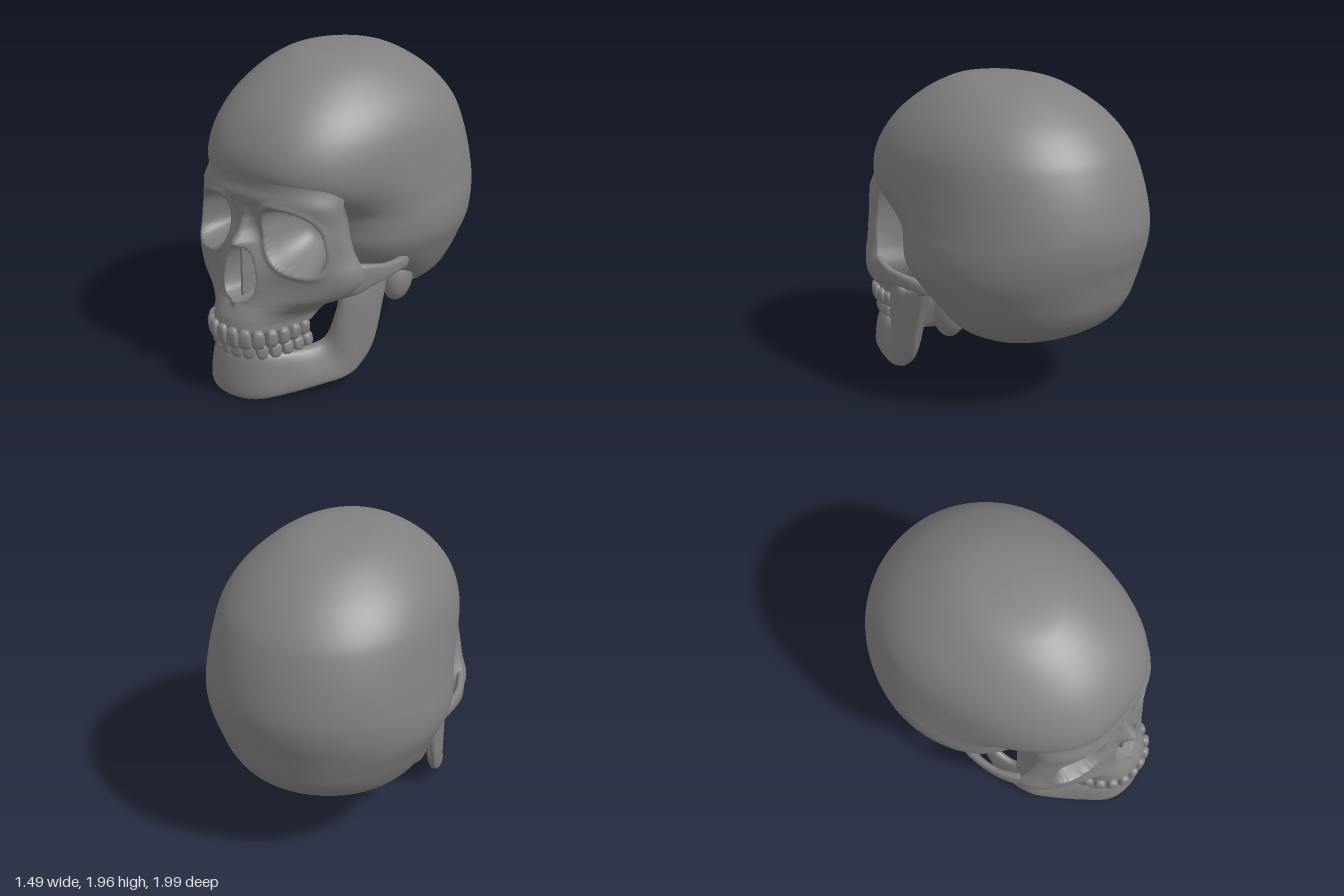
import * as THREE from 'three';

const bone = new THREE.MeshStandardMaterial({ color: 0x808080, side: THREE.DoubleSide });
const HALF = Math.PI / 2;
const { lerp, clamp, smoothstep } = THREE.MathUtils;
const sgnPow = (v, e) => Math.sign(v) * Math.pow(Math.abs(v), e);
const gauss = (v) => Math.exp(-v * v);

// Smooth interpolation through rows of numbers, t from 0 to 1
function sample(rows, t) {
  const f = clamp(t, 0, 1) * (rows.length - 1);
  const i = Math.min(Math.floor(f), rows.length - 2), k = f - i;
  const [a, b, c, d] = [i - 1, i, i + 1, i + 2].map((n) => rows[clamp(n, 0, rows.length - 1)]);
  return b.map((p, n) => 0.5 * (2 * p + (c[n] - a[n]) * k + (2 * a[n] - 5 * p + 4 * c[n] - d[n]) * k * k
    + (3 * p - a[n] - 3 * c[n] + d[n]) * k * k * k));
}

// Skin of closed rings: point(u, v) gives [x, y, z], v wraps around
function skin(nu, nv, point) {
  const pos = [], idx = [];
  for (let i = 0; i <= nu; i++) for (let j = 0; j < nv; j++) pos.push(...point(i / nu, j / nv));
  for (let i = 0; i < nu; i++) for (let j = 0; j < nv; j++) {
    const a = i * nv + j, b = i * nv + (j + 1) % nv;
    idx.push(a, a + nv, b, b, a + nv, b + nv);
  }
  const g = new THREE.BufferGeometry();
  g.setAttribute('position', new THREE.Float32BufferAttribute(pos, 3));
  g.setIndex(idx);
  g.computeVertexNormals();
  return g;
}

// Horizontal rings, row = [y, half width, front z, widest z, back z, front roundness];
// 'front' is the share of points on the front half, 'backPow' shapes the back half
const frontZ = ([, , zf, zm, , n], a) => zm + (zf - zm) * Math.sqrt(1 - Math.pow(Math.min(a, 1), n));
function rings(rows, nu, nv, front, backPow, adjust) {
  return skin(nu, nv, (u, v) => {
    const r = sample(rows, u), isFront = v <= front;
    const t = isFront ? -HALF + Math.PI * v / front : HALF + Math.PI * (v - front) / (1 - front);
    const s = Math.sin(t), a = Math.min(Math.abs(s), 1);
    const z = isFront ? frontZ(r, a) : r[3] + (r[4] - r[3]) * Math.pow(1 - a * a, backPow);
    return adjust([Math.max(r[1], 0) * s, r[0], z], isFront);
  });
}

// Upright blade swept along a path, row = [bottom x, y, z, top x, y, z, half thickness]
function blade(rows, nu, nv) {
  return skin(nu, nv, (u, v) => {
    const r = sample(rows, u), p = sample(rows, u - 0.01), q = sample(rows, u + 0.01);
    const tx = q[0] + q[3] - p[0] - p[3], tz = q[2] + q[5] - p[2] - p[5], len = Math.hypot(tx, tz) || 1;
    const a = v * 2 * Math.PI, k = 0.5 + 0.5 * sgnPow(Math.sin(a), 0.8), o = r[6] * sgnPow(Math.cos(a), 0.6);
    return [r[0] + (r[3] - r[0]) * k - o * tz / len, r[1] + (r[4] - r[1]) * k, r[2] + (r[5] - r[2]) * k + o * tx / len];
  });
}

const CRANIUM = [
  [1.967, 0, -0.03, -0.03, -0.03, 2], [1.958, 0.15, 0.14, -0.04, -0.21, 2], [1.94, 0.24, 0.26, -0.05, -0.34, 2],
  [1.91, 0.32, 0.345, -0.06, -0.44, 2], [1.85, 0.415, 0.46, -0.08, -0.56, 2.1], [1.765, 0.512, 0.58, -0.12, -0.685, 2.2],
  [1.68, 0.583, 0.67, -0.145, -0.775, 2.3], [1.58, 0.637, 0.745, -0.17, -0.855, 2.4], [1.48, 0.667, 0.793, -0.19, -0.902, 2.5],
  [1.38, 0.686, 0.808, -0.21, -0.938, 2.6], [1.3, 0.7, 0.775, -0.22, -0.96, 2.7], [1.22, 0.714, 0.68, -0.22, -0.978, 2.9],
  [1.14, 0.727, 0.55, -0.22, -0.988, 3.2], [1.07, 0.74, 0.45, -0.21, -0.985, 3.4], [0.98, 0.746, 0.41, -0.2, -0.97, 3.5],
  [0.88, 0.735, 0.4, -0.2, -0.94, 3.4], [0.77, 0.69, 0.36, -0.2, -0.912, 3], [0.66, 0.64, 0.22, -0.2, -0.875, 2.5],
  [0.55, 0.57, 0.08, -0.22, -0.795, 2.2], [0.46, 0.45, 0, -0.25, -0.65, 2], [0.4, 0.28, -0.1, -0.3, -0.47, 2],
  [0.378, 0, -0.29, -0.3, -0.31, 2],
];

// Front of the braincase at a given x and y
function foreheadZ(x, y) {
  let lo = 0, hi = 1;
  for (let i = 0; i < 14; i++) {
    const mid = (lo + hi) / 2;
    if (sample(CRANIUM, mid)[0] > y) lo = mid; else hi = mid;
  }
  const r = sample(CRANIUM, lo);
  return frontZ(r, Math.abs(x) / r[1]);
}

// Temples are pressed in slightly
function shapeCranium([x, y, z]) {
  const dent = 0.025 * gauss((y - 1.1) / 0.16) * gauss((z - 0.34) / 0.18);
  return [x - Math.sign(x) * dent * Math.min(1, Math.abs(x) * 3), y, z];
}

// Nose bridge height by y, from the brow down to the nose floor
const BRIDGE = [[1.18, 0], [1.11, 0.025], [1.04, 0.07], [0.97, 0.135], [0.92, 0.1], [0.8, 0.07], [0.7, 0.055], [0.6, 0]];
function bridge(y) {
  for (let i = 1; i < BRIDGE.length; i++) {
    const [y0, h0] = BRIDGE[i - 1], [y1, h1] = BRIDGE[i];
    if (y <= y0 && y >= y1) return lerp(h0, h1, (y0 - y) / (y0 - y1));
  }
  return 0;
}

// Brow fades into the forehead; eye sockets, nose bridge and nose opening are pressed in
function shapeFace([x, y, z], isFront) {
  if (!isFront) return [x, y, z];
  if (y > 1.2) z = lerp(z, foreheadZ(x, y) - 0.004, smoothstep(y, 1.2, 1.42));
  const u = Math.abs(x) - 0.305, v = y - 1.003;
  const d = Math.pow(Math.pow(Math.abs(u + 0.18 * v) / 0.165, 2.8) + Math.pow(Math.abs(v + 0.14 * u) / 0.178, 2.8), 1 / 2.8);
  const socket = 0.3 * Math.pow(Math.max(0, 1 - Math.pow(d, 2.7)), 0.8);
  z += 0.012 * gauss((d - 1.1) / 0.1) - socket;
  const spread = clamp(0.045 + (1.05 - y) * 0.32, 0.045, 0.15);
  z += bridge(y) * gauss(x / spread);
  const k = (y - 0.62) / 0.33;
  if (k > 0 && k < 1) {
    const w = 0.19 * Math.sqrt(1 - k) * Math.pow(k, 0.25);
    z -= 0.23 * (1 - smoothstep(Math.abs(x) / w, 0.65, 1.05));
  }
  z += 0.03 * gauss(x / 0.025) * gauss((y - 0.61) / 0.025);
  return [x * (1 - 0.5 * socket), y, z];
}

export function createModel() {
  const skull = new THREE.Group();
  skull.name = 'skull';
  const add = (name, geo, parent = skull) => {
    const m = new THREE.Mesh(geo, bone);
    m.name = name;
    parent.add(m);
    return m;
  };
  const pair = (name, geo, place = () => {}) => [['left', 1], ['right', -1]].forEach(([side, s]) => {
    const holder = new THREE.Group();
    holder.name = side + name;
    holder.scale.x = s;
    skull.add(holder);
    place(add(name, geo, holder));
  });
  const ball = new THREE.SphereGeometry(1, 24, 16);
  const lump = (name, p, r, tilt = 0) => pair(name, ball, (m) => {
    m.position.set(...p);
    m.scale.set(...r);
    m.rotation.x = tilt;
  });

  // Braincase
  add('cranium', rings(CRANIUM, 105, 112, 0.5, 0.5, shapeCranium));

  // Face from the forehead down to the palate
  add('face', rings([
    [1.45, 0.42, 0.765, 0.3, 0.2, 2.5], [1.38, 0.46, 0.8, 0.37, 0.2, 2.5], [1.31, 0.485, 0.822, 0.45, 0.2, 2.5],
    [1.25, 0.497, 0.828, 0.5, 0.15, 2.5], [1.19, 0.505, 0.805, 0.53, 0.1, 2.5],
    [1.1, 0.515, 0.785, 0.53, 0.1, 2.3], [1.0, 0.54, 0.78, 0.52, 0.12, 2.2], [0.9, 0.57, 0.8, 0.49, 0.18, 1.95],
    [0.8, 0.61, 0.83, 0.46, 0.2, 1.75], [0.72, 0.6, 0.84, 0.46, 0.24, 1.75], [0.65, 0.545, 0.865, 0.46, 0.3, 1.85],
    [0.6, 0.45, 0.9, 0.46, 0.3, 1.9], [0.55, 0.36, 0.935, 0.46, 0.33, 2.1], [0.5, 0.31, 0.96, 0.5, 0.4, 2.3],
    [0.44, 0.285, 0.965, 0.57, 0.53, 2.4], [0.43, 0.22, 0.91, 0.58, 0.55, 2], [0.49, 0.12, 0.8, 0.6, 0.57, 2],
    [0.5, 0, 0.66, 0.65, 0.64, 2],
  ], 153, 260, 0.86, 1, shapeFace));

  // Partition and side scrolls inside the nose
  const septum = add('nasalSeptum', new THREE.BoxGeometry(0.016, 0.3, 0.22));
  septum.position.set(0, 0.77, 0.73);
  lump('nasalScroll', [0.075, 0.73, 0.65], [0.026, 0.085, 0.07]);

  // Cheek arches
  pair('cheekArch', blade([
    [0.48, 0.65, 0.58, 0.49, 0.83, 0.58, 0.03], [0.56, 0.66, 0.5, 0.57, 0.85, 0.48, 0.03],
    [0.61, 0.695, 0.4, 0.615, 0.835, 0.39, 0.025], [0.636, 0.715, 0.3, 0.636, 0.815, 0.3, 0.022],
    [0.635, 0.722, 0.17, 0.635, 0.8, 0.17, 0.025], [0.6, 0.7, 0.07, 0.605, 0.785, 0.07, 0.035],
    [0.53, 0.69, 0, 0.53, 0.77, 0, 0.03],
  ], 40, 24));

  // Base of the skull
  lump('mastoidProcess', [0.49, 0.57, -0.035], [0.085, 0.15, 0.11], -0.2);
  lump('occipitalCondyle', [0.13, 0.45, -0.08], [0.05, 0.05, 0.09]);
  lump('pterygoidPlate', [0.15, 0.58, 0.36], [0.03, 0.14, 0.1]);
  const base = add('skullBase', ball);
  base.position.set(0, 0.64, 0.16);
  base.scale.set(0.22, 0.13, 0.26);

  // Lower jaw: one half from chin to hinge, mirrored into a full row list
  const half = [
    [0, 0.008, 0.945, 0, 0.3, 0.885, 0.045], [0.16, 0.014, 0.9, 0.15, 0.3, 0.85, 0.045],
    [0.285, 0.035, 0.75, 0.24, 0.29, 0.74, 0.045], [0.39, 0.062, 0.59, 0.31, 0.29, 0.59, 0.05],
    [0.455, 0.077, 0.48, 0.37, 0.34, 0.51, 0.045], [0.48, 0.095, 0.39, 0.43, 0.52, 0.49, 0.04],
    [0.488, 0.13, 0.33, 0.465, 0.7, 0.46, 0.035], [0.495, 0.17, 0.285, 0.495, 0.63, 0.33, 0.033],
    [0.5, 0.23, 0.25, 0.51, 0.7, 0.14, 0.034], [0.5, 0.29, 0.228, 0.51, 0.67, 0.1, 0.003],
  ];
  const flip = (r) => r.map((v, i) => (i === 0 || i === 3 ? -v : v));
  add('lowerJaw', blade([...half.slice(1).reverse().map(flip), ...half], 126, 36));
  lump('jawHinge', [0.515, 0.69, 0.135], [0.08, 0.035, 0.045]);

  // Teeth: rounded blocks, wider at the biting edge, set along each arch
  const toothGeo = new THREE.SphereGeometry(1, 16, 12);
  const p = toothGeo.attributes.position;
  for (let i = 0; i < p.count; i++) {
    const y = sgnPow(p.getY(i), 0.75), k = 1 - 0.12 * y;
    p.setXYZ(i, sgnPow(p.getX(i), 0.6) * k, y, sgnPow(p.getZ(i), 0.7) * (1 + 0.15 * y));
  }
  toothGeo.computeVertexNormals();
  const arch = [[0.262, 0.575], [0.257, 0.7], [0.235, 0.8], [0.188, 0.89], [0.105, 0.952]];
  function teeth(name, inset, y, height, dir) {
    const row = new THREE.Group();
    row.name = name;
    skull.add(row);
    const pts = [...arch.map(([x, z]) => [-x, z]), [0, 0.972], ...arch.slice().reverse()]
      .map(([x, z]) => new THREE.Vector3(x * (1 - inset), 0, z - inset));
    const curve = new THREE.CatmullRomCurve3(pts), w = curve.getLength() / 14;
    for (let i = 0; i < 14; i++) {
      const t = (i + 0.5) / 14, c = curve.getPointAt(t), g = curve.getTangentAt(t);
      const back = Math.abs(i - 6.5) / 6.5;
      const tooth = add('tooth', toothGeo, row);
      tooth.position.set(c.x, y + dir * 0.006 * back, c.z);
      tooth.rotation.y = Math.atan2(-g.z, g.x);
      tooth.scale.set(w * 0.5, dir * height * (1 - 0.2 * back), 0.028 + 0.024 * back);
    }
  }
  teeth('upperTeeth', 0, 0.408, 0.066, 1);
  teeth('lowerTeeth', 0.035, 0.326, 0.056, -1);

  return skull;
}
